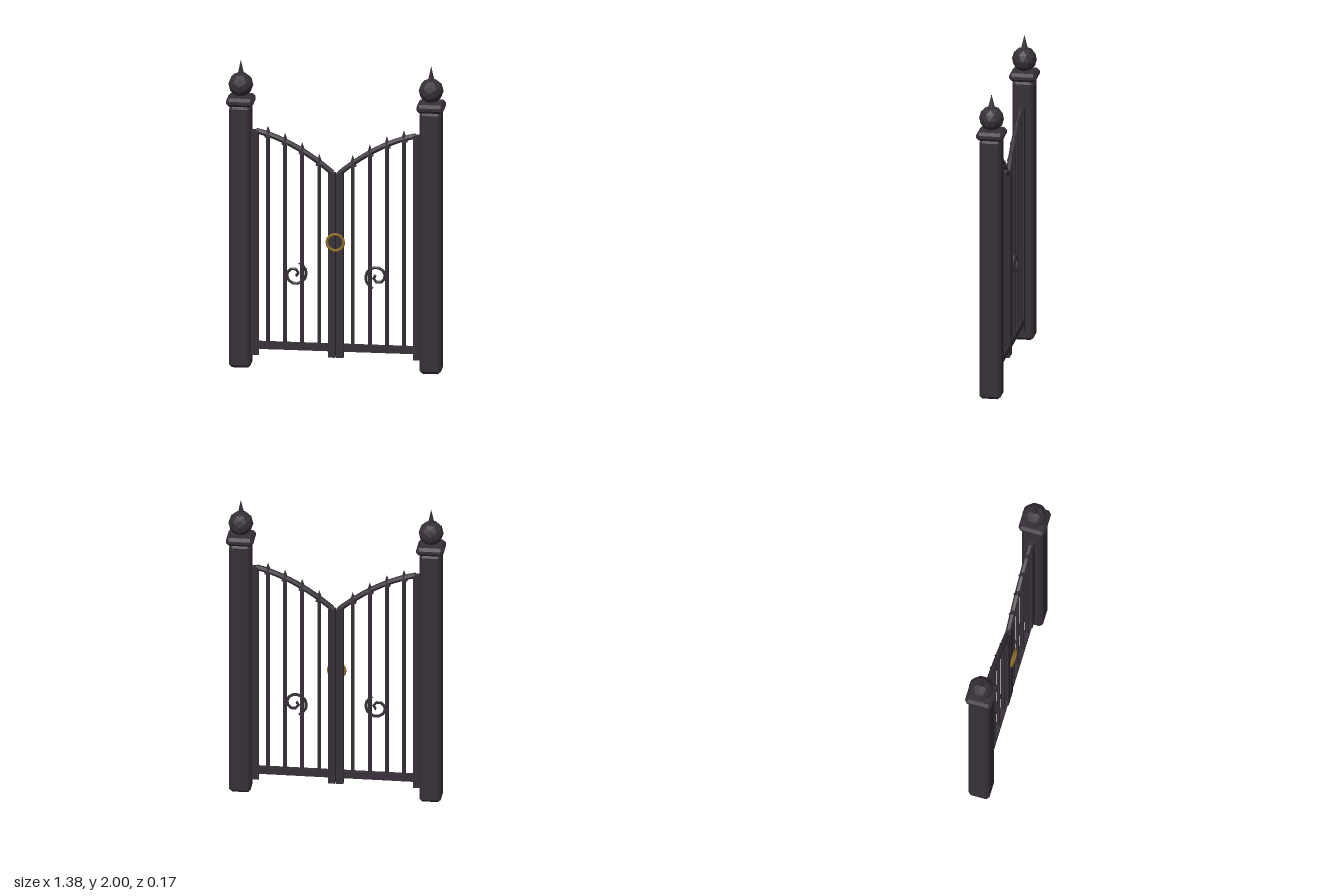
import * as THREE from 'three';
import { ConvexGeometry } from 'three/addons/geometries/ConvexGeometry.js';

const iron = new THREE.MeshStandardMaterial({ color: 0x382f39, flatShading: true });
iron.name = 'dark iron';
const brass = new THREE.MeshStandardMaterial({ color: 0x8c6a28, flatShading: true });
brass.name = 'old brass';

function add(parent, name, geometry, x = 0, y = 0, z = 0, material = iron) {
  const mesh = new THREE.Mesh(geometry, material);
  mesh.name = name;
  mesh.position.set(x, y, z);
  parent.add(mesh);
  return mesh;
}

// Box with every edge cut by a flat chamfer
function chamferBox(w, h, d, c) {
  const points = [];
  for (const sx of [-1, 1]) for (const sy of [-1, 1]) for (const sz of [-1, 1]) {
    const x = w / 2, y = h / 2, z = d / 2;
    points.push(
      new THREE.Vector3(sx * x, sy * (y - c), sz * (z - c)),
      new THREE.Vector3(sx * (x - c), sy * y, sz * (z - c)),
      new THREE.Vector3(sx * (x - c), sy * (y - c), sz * z));
  }
  return new ConvexGeometry(points);
}

function createPost(side) {
  const post = new THREE.Group();
  post.name = side > 0 ? 'leftPost' : 'rightPost';
  post.position.x = side * 0.602;
  add(post, 'postShaft', chamferBox(0.136, 1.71, 0.136, 0.018), 0, 0.855);
  add(post, 'postCap', chamferBox(0.172, 0.055, 0.172, 0.018), 0, 1.737);
  add(post, 'finialBall', new THREE.IcosahedronGeometry(0.079, 1), 0, 1.84);
  add(post, 'finialSpike', new THREE.ConeGeometry(0.024, 0.1, 6), 0, 1.95);
  return post;
}

// Spiral scroll in the xy plane, winding inwards clockwise
function scrollGeometry() {
  const points = [];
  for (let i = 0; i <= 12; i++) {
    const t = i / 12;
    const angle = THREE.MathUtils.degToRad(248 - 480 * t);
    const r = 0.083 - 0.067 * t;
    points.push(new THREE.Vector3(Math.cos(angle) * r, Math.sin(angle) * r, 0));
  }
  return new THREE.TubeGeometry(new THREE.CatmullRomCurve3(points), 14, 0.01, 5, false);
}

function createLeaf(side) {
  const leaf = new THREE.Group();
  leaf.name = side > 0 ? 'leftLeaf' : 'rightLeaf';

  // Frame
  add(leaf, 'hingeStile', new THREE.BoxGeometry(0.046, 1.47, 0.036), side * 0.511, 0.81);
  add(leaf, 'meetingStile', new THREE.BoxGeometry(0.045, 1.205, 0.036), side * 0.0255, 0.6775);
  add(leaf, 'bottomRail', new THREE.BoxGeometry(0.46, 0.044, 0.034), side * 0.268, 0.138);

  // Arched top rail
  const arch = new THREE.QuadraticBezierCurve3(
    new THREE.Vector3(side * 0.505, 1.54, 0),
    new THREE.Vector3(side * 0.2625, 1.485, 0),
    new THREE.Vector3(side * 0.022, 1.28, 0));
  add(leaf, 'topRail', new THREE.TubeGeometry(arch, 12, 0.018, 6, false));
  for (const t of [0, 1]) {
    const end = add(leaf, 'railEnd', new THREE.CircleGeometry(0.018, 6));
    end.position.copy(arch.getPoint(t));
    end.lookAt(end.position.clone().addScaledVector(arch.getTangent(t), t ? 1 : -1));
  }

  // Upright bars with spear tips
  for (let i = 0; i < 4; i++) {
    const x = 0.106 + i * 0.108;
    const top = arch.getPoint((0.505 - x) / 0.483).y;
    add(leaf, 'bar', new THREE.CylinderGeometry(0.0135, 0.0135, top - 0.14, 6), side * x, (top + 0.14) / 2);
    add(leaf, 'barSpike', new THREE.ConeGeometry(0.026, 0.075, 6), side * x, top + 0.018);
  }

  // Scroll ornament, turned half round on the other leaf
  const scroll = add(leaf, 'scroll', scrollGeometry(), side * 0.262, 0.61);
  if (side < 0) scroll.rotation.z = Math.PI;
  return leaf;
}

export function createModel() {
  const gate = new THREE.Group();
  gate.name = 'gate';
  for (const side of [-1, 1]) gate.add(createPost(side), createLeaf(side));
  add(gate, 'ringHandle', new THREE.TorusGeometry(0.053, 0.0095, 6, 14), 0, 0.836, 0.038, brass);
  return gate;
}
